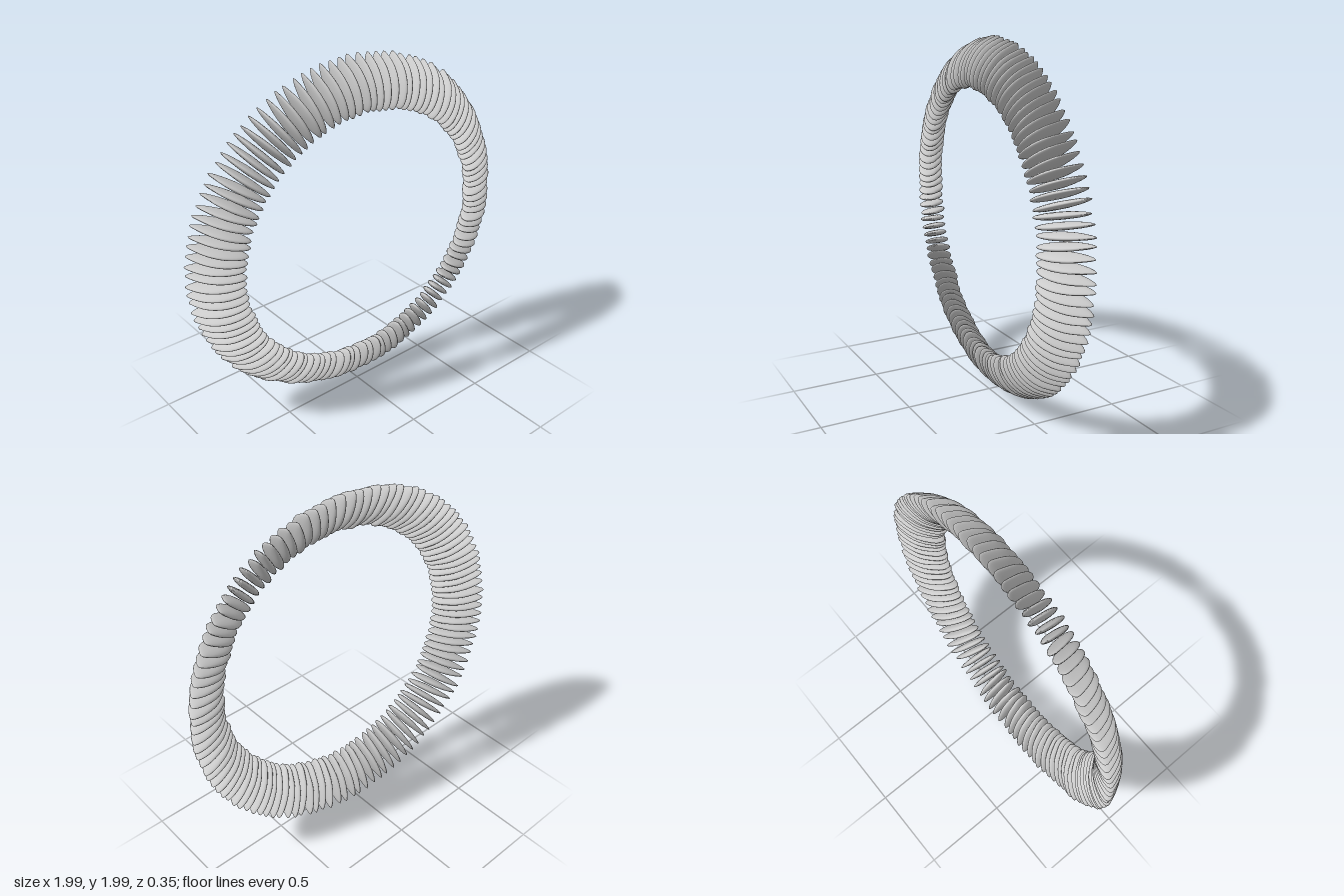
import * as THREE from 'three';
import { mergeVertices } from 'three/addons/utils/BufferGeometryUtils.js';

const COUNT = 112;        // beads around the ring
const MID = 0.865;        // ring radius at the bead centres
const HALF_THICK = 0.0185;

// Bead outline in the (radius, z) plane: a slanted slab, pointed at the outer back, blunt at the inner front
const OUTLINE = [
  [0.766, 0.008], [0.738, 0.045], [0.733, 0.085], [0.765, 0.106], [0.82, 0.105], [0.885, 0.08],
  [0.942, 0.033], [0.978, -0.025], [0.995, -0.08], [0.965, -0.089], [0.9, -0.078], [0.825, -0.045],
];

// A flat pebble: a squared-off sphere whose rim follows the outline
function beadGeometry() {
  const rim = new THREE.CatmullRomCurve3(
    OUTLINE.map(([r, z]) => new THREE.Vector3(r - MID, 0, z)), true);
  const geo = new THREE.SphereGeometry(1, 28, 12);
  const pos = geo.attributes.position, uv = geo.attributes.uv;
  for (let i = 0; i < pos.count; i++) {
    const y = pos.getY(i);
    const s = Math.pow(Math.max(0, 1 - y * y), 0.4);
    const p = rim.getPoint(((uv.getX(i) % 1) + 1) % 1).multiplyScalar(s);
    const taper = 1 - 2 * Math.max(0, p.x);     // thinner toward the outer tip
    pos.setXYZ(i, p.x, y * HALF_THICK * taper, p.z);
  }
  geo.deleteAttribute('uv');
  geo.deleteAttribute('normal');
  const bead = mergeVertices(geo, 1e-5);
  bead.computeVertexNormals();
  return bead;
}

// Small seeded generator, -1 to 1
function makeWobble(seed) {
  return () => {
    seed = (seed * 16807) % 2147483647;
    return (seed / 2147483647) * 2 - 1;
  };
}

export function createModel() {
  const model = new THREE.Group();
  model.name = 'beadRing';
  const material = new THREE.MeshStandardMaterial({ color: 0xcccccc });
  const geometry = beadGeometry();
  const wobble = makeWobble(4211);

  // Ring of beads, each turned to its own angle with a slight irregularity
  const ring = new THREE.Group();
  ring.name = 'ring';
  for (let i = 0; i < COUNT; i++) {
    const a = ((i + 0.5) / COUNT) * Math.PI * 2;
    const r = MID + wobble() * 0.004;
    const bead = new THREE.Mesh(geometry, material);
    bead.name = 'bead';
    bead.position.set(Math.cos(a) * r, Math.sin(a) * r, wobble() * 0.004);
    bead.rotation.set(wobble() * 0.06, wobble() * 0.03, a + wobble() * 0.04, 'ZYX');
    ring.add(bead);
  }

  // The ring leans a little
  ring.rotation.set(0.04, -0.07, 0);
  ring.position.y = 1;
  model.add(ring);
  return model;
}
